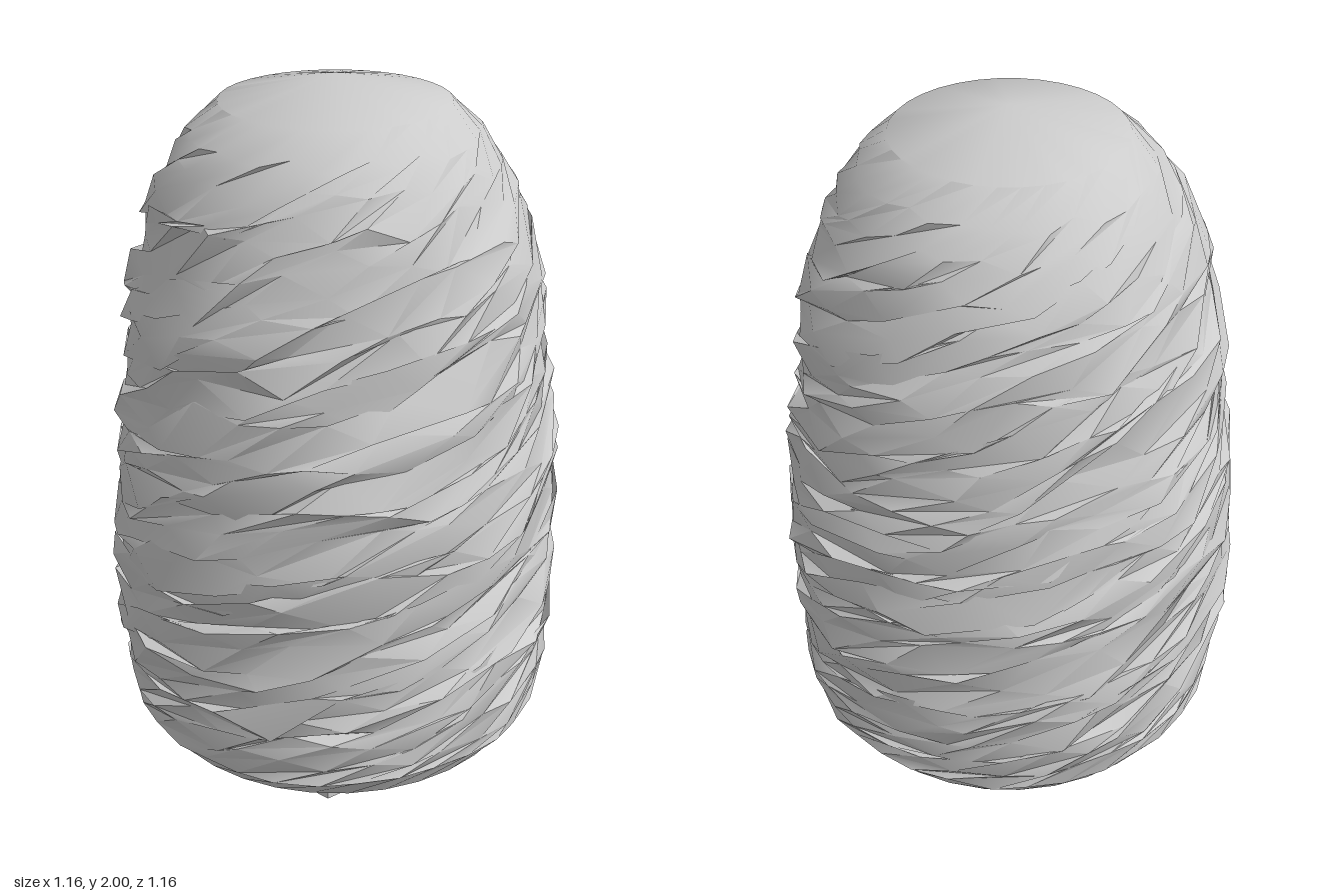
import * as THREE from 'three';
import { toCreasedNormals } from 'three/addons/utils/BufferGeometryUtils.js';

// Small seeded generator, returns -1..1
function seeded(seed) {
  let s = seed;
  return () => {
    s = (s * 16807) % 2147483647;
    return (s / 2147483647) * 2 - 1;
  };
}

// Crown outline as [radius, height]
const outline = [
  [0.5, 0.31], [0.545, 0.36], [0.565, 0.45], [0.575, 0.65], [0.57, 0.9], [0.555, 1.1],
  [0.53, 1.3], [0.505, 1.48], [0.465, 1.65], [0.42, 1.77], [0.365, 1.86], [0.275, 1.94],
];

function radiusAt(y) {
  for (let i = 1; i < outline.length; i++) {
    const [r0, y0] = outline[i - 1], [r1, y1] = outline[i];
    if (y <= y1) return THREE.MathUtils.lerp(r0, r1, Math.max(0, (y - y0) / (y1 - y0)));
  }
  return outline[outline.length - 1][0];
}

// Rings sheared around the axis, so the ragged facets sweep up in a spiral
function crownGeometry() {
  const rnd = seeded(4711), rings = 26, sides = 34;
  const bottom = 0.31, top = 1.94, step = (top - bottom) / rings;
  const points = [], faces = [];
  for (let j = 0; j <= rings; j++) {
    const edge = j === 0 || j === rings;
    const rough = edge ? 0 : Math.min(1, j / 4, (rings - j) / 4);
    for (let i = 0; i < sides; i++) {
      const a = ((i + j * 1.2 + rnd() * 0.4 * rough) / sides) * Math.PI * 2;
      const y = bottom + j * step + rnd() * 0.045 * rough;
      const r = radiusAt(y) + rnd() * 0.017 * rough;
      points.push(r * Math.sin(a), y, r * Math.cos(a));
    }
  }
  const low = points.length / 3, high = low + 1;
  points.push(0, 0.28, 0, 0, 2, 0);
  for (let i = 0; i < sides; i++) {
    const n = (i + 1) % sides;
    for (let j = 0; j < rings; j++) {
      const a = j * sides + i, b = j * sides + n;
      const c = a + sides, d = b + sides;
      faces.push(a, b, d, a, d, c);
    }
    faces.push(low, n, i, high, rings * sides + i, rings * sides + n);
  }
  const geometry = new THREE.BufferGeometry();
  geometry.setAttribute('position', new THREE.Float32BufferAttribute(points, 3));
  geometry.setIndex(faces);
  return toCreasedNormals(geometry, 0.65);
}

// Tapered six-sided stem, flattened on one side
function trunkGeometry() {
  const geometry = new THREE.CylinderGeometry(0.115, 0.145, 0.32, 6);
  geometry.rotateY(Math.PI / 6);
  geometry.translate(0, 0.16, 0);
  const p = geometry.attributes.position;
  for (let i = 0; i < p.count; i++) p.setX(i, Math.min(p.getX(i), 0.11));
  return toCreasedNormals(geometry, 0.3);
}

export function createModel() {
  const grey = new THREE.MeshStandardMaterial({ color: 0xcccccc });
  grey.name = 'pale grey';
  const group = new THREE.Group();
  group.name = 'tree';
  const crown = new THREE.Mesh(crownGeometry(), grey);
  crown.name = 'crown';
  const trunk = new THREE.Mesh(trunkGeometry(), grey);
  trunk.name = 'trunk';
  group.add(crown, trunk);
  return group;
}
